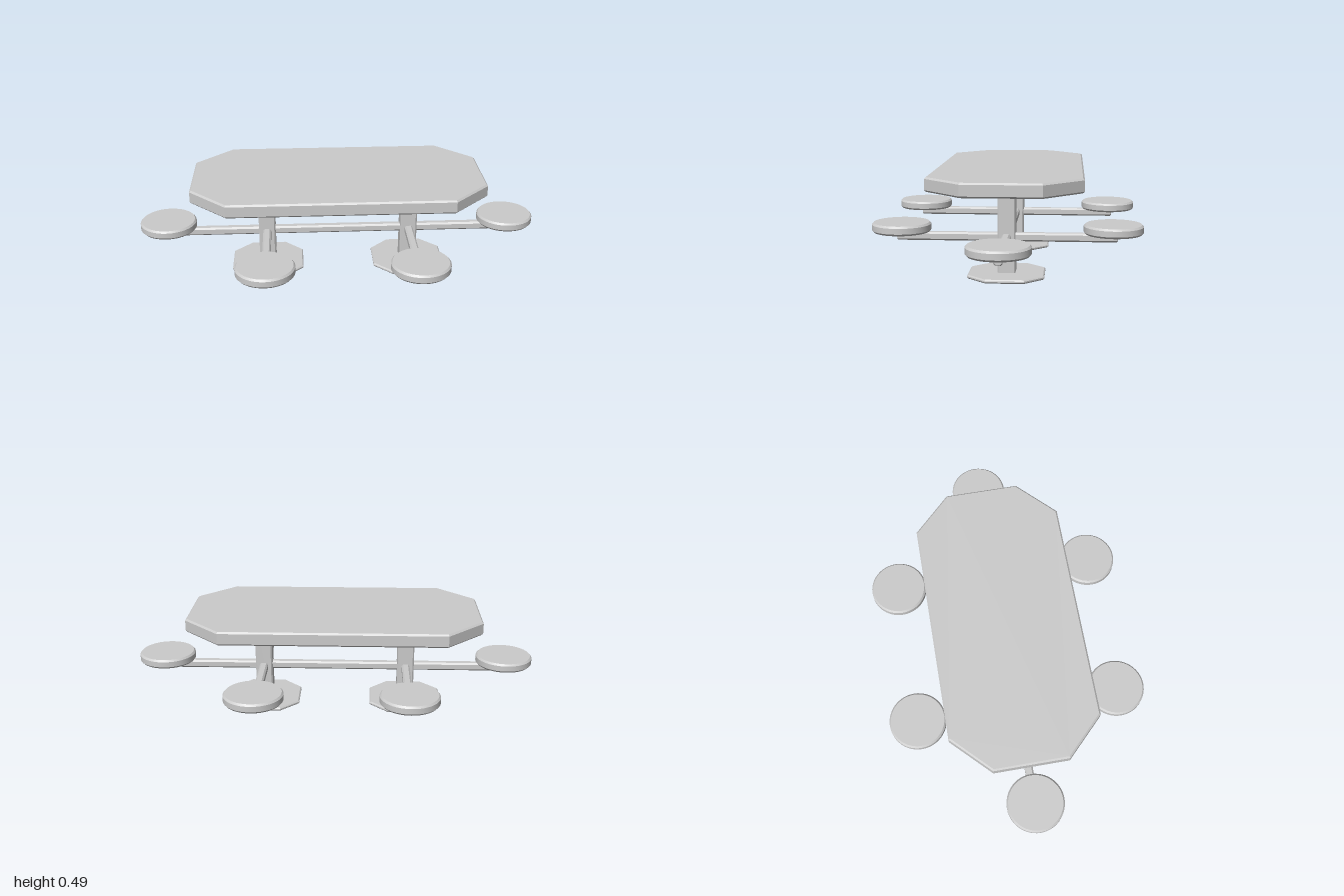
import * as THREE from 'three';
import { toCreasedNormals } from 'three/addons/utils/BufferGeometryUtils.js';

const material = new THREE.MeshStandardMaterial({ color: 0xcccccc });
const flatMaterial = new THREE.MeshStandardMaterial({ color: 0xcccccc, flatShading: true });

// Rectangle with cut corners, centred on the origin
function cutRect(halfW, halfH, cut) {
  return new THREE.Shape([
    [halfW - cut, -halfH], [halfW, -halfH + cut], [halfW, halfH - cut], [halfW - cut, halfH],
    [-halfW + cut, halfH], [-halfW, halfH - cut], [-halfW, -halfH + cut], [-halfW + cut, -halfH],
  ].map(([x, y]) => new THREE.Vector2(x, y)));
}

// Prism along z, centred, with chamfered ends and unchanged outer size
function prism(shape, length, bevel) {
  const geometry = new THREE.ExtrudeGeometry(shape, {
    depth: length - 2 * bevel, bevelEnabled: true, bevelSegments: 1,
    bevelThickness: bevel, bevelSize: bevel, bevelOffset: -bevel,
  });
  return geometry.translate(0, 0, bevel - length / 2);
}

export function createModel() {
  const group = new THREE.Group();
  const add = (name, geometry, x, y, z, mat = flatMaterial) => {
    const mesh = new THREE.Mesh(geometry, mat);
    mesh.name = name;
    mesh.position.set(x, y, z);
    group.add(mesh);
  };
  const upright = (shape, height, bevel) => prism(shape, height, bevel).rotateX(-Math.PI / 2);

  // Table top
  add('tableTop', upright(cutRect(0.72, 0.36, 0.18), 0.067, 0.008), 0, 0.4535, 0);

  // Support beams
  const barProfile = cutRect(0.02, 0.02, 0.008);
  add('longBeam', prism(barProfile, 1.76, 0.005).rotateY(Math.PI / 2), 0, 0.185, 0);

  // Round seat with chamfered rims
  const seatProfile = [[0, 0], [0.132, 0], [0.14, 0.009], [0.14, 0.036], [0.132, 0.045], [0, 0.045]]
    .map(([r, y]) => new THREE.Vector2(r, y));
  const seat = toCreasedNormals(new THREE.LatheGeometry(seatProfile, 48), 0.5);

  const plate = upright(cutRect(0.18, 0.18, 0.09), 0.018, 0.006);
  const column = upright(cutRect(0.042, 0.042, 0.007), 0.415, 0.003);
  const crossBeam = prism(barProfile, 1.04, 0.005);

  for (const side of [-1, 1]) {
    const x = side * 0.36;
    add('footPlate', plate, x, 0.009, 0);
    add('column', column, x, 0.2175, 0);
    add('crossBeam', crossBeam, x, 0.185, 0);
    add('endSeat', seat, side * 0.857, 0.205, 0, material);
    for (const z of [-0.5, 0.5]) add('sideSeat', seat, x, 0.205, z, material);
  }
  return group;
}
